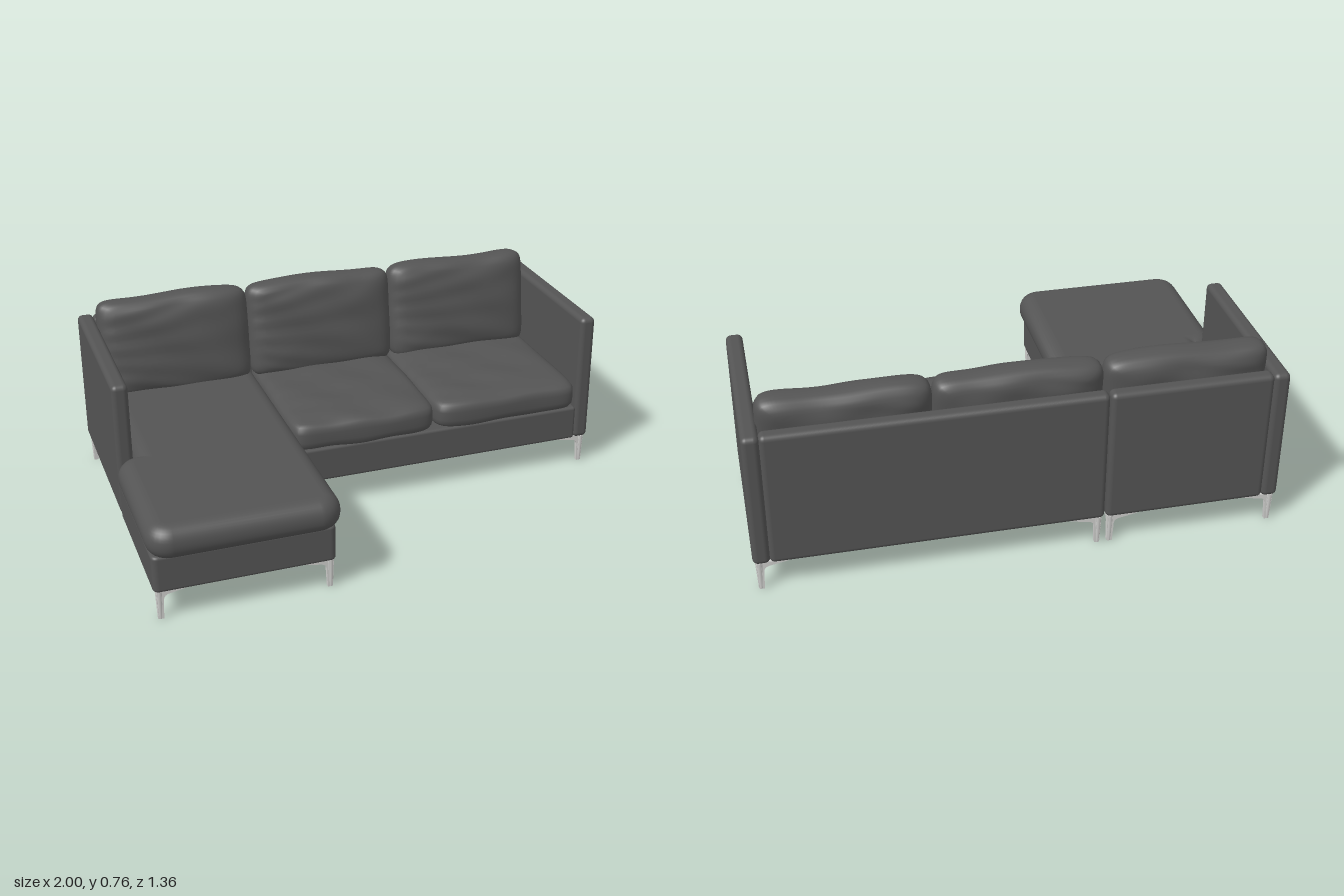
import * as THREE from 'three';
import { mergeVertices } from 'three/addons/utils/BufferGeometryUtils.js';
import { RoundedBoxGeometry } from 'three/addons/geometries/RoundedBoxGeometry.js';

const material = (name, color) => {
  const m = new THREE.MeshStandardMaterial({ color });
  m.name = name;
  return m;
};

function smooth(geometry) {
  geometry.deleteAttribute('uv');
  geometry.deleteAttribute('normal');
  const merged = mergeVertices(geometry, 1e-5);
  merged.computeVertexNormals();
  return merged;
}

// Rounded box given by its limits on each axis
function slab([x0, x1], [y0, y1], [z0, z1], r) {
  const g = new RoundedBoxGeometry(x1 - x0, y1 - y0, z1 - z0, 4, r);
  return g.translate((x0 + x1) / 2, (y0 + y1) / 2, (z0 + z1) / 2);
}

// L-shaped slab with rounded rims: wide in front of zn, narrow behind it
function notchedSlab(x0, xn, x1, z0, zn, z1, y0, y1, r, corner) {
  const [a, n, b] = [x0 + r, xn + r, x1 - r];
  const [back, step, front] = [-(z0 + r), -(zn + r), -(z1 - r)];
  const s = new THREE.Shape();
  s.moveTo(a + corner, front);
  s.lineTo(b - corner, front);
  s.quadraticCurveTo(b, front, b, front + corner);
  s.lineTo(b, back);
  s.lineTo(n, back);
  s.lineTo(n, step);
  s.lineTo(a + corner, step);
  s.quadraticCurveTo(a, step, a, step - corner);
  s.lineTo(a, front + corner);
  s.quadraticCurveTo(a, front, a + corner, front);
  const g = new THREE.ExtrudeGeometry(s, {
    depth: y1 - y0 - 2 * r, bevelEnabled: true, bevelSize: r, bevelThickness: r,
    bevelSegments: 8, curveSegments: 8,
  });
  return smooth(g.rotateX(-Math.PI / 2).translate(0, y0 + r, 0));
}

// Stuffed cushion: width x height outline, thickness along z, soft creases
function cushion(w, h, t, power, seed) {
  const g = new THREE.BoxGeometry(2, 2, 2, 36, 32, 12);
  const pos = g.attributes.position;
  for (let i = 0; i < pos.count; i++) {
    const [x, y, z] = [pos.getX(i), pos.getY(i), pos.getZ(i)].map((v) => Math.sin(v * Math.PI / 2));
    const R = Math.pow(Math.abs(x) ** 10 + Math.abs(y) ** 10, 0.1);
    const k = Math.pow(R ** power + Math.abs(z) ** power, -1 / power);
    const [u, v, d] = [x * k, y * k, z * k];
    const fold = 0.003 * Math.sin(7 * u + 5 * v + seed) + 0.002 * Math.sin(13 * v - 8 * u * v + seed * 2);
    const edge = 0.005 * Math.sin(4 * u + seed) * v;
    pos.setXYZ(i, u * w / 2, v * h / 2 + edge, d * t / 2 + fold * d * (1 - (u * v) ** 2));
  }
  return smooth(g);
}

// Curved bracket arm of a leg, running along +x from the post
function bracketGeometry() {
  const s = new THREE.Shape();
  s.moveTo(-0.012, 0.118);
  s.lineTo(-0.006, 0);
  s.lineTo(0.012, 0);
  s.lineTo(0.016, 0.078);
  s.quadraticCurveTo(0.018, 0.097, 0.04, 0.1);
  s.lineTo(0.105, 0.112);
  s.lineTo(0.105, 0.118);
  s.closePath();
  return new THREE.ExtrudeGeometry(s, { depth: 0.016, bevelEnabled: false, curveSegments: 8 }).translate(0, 0, -0.008);
}

export function createModel() {
  const fabric = material('charcoal fabric', 0x545454);
  const lining = material('black lining', 0x141414);
  const metal = material('brushed metal', 0xcfcfcd);

  const model = new THREE.Group();
  model.name = 'cornerSofa';
  const add = (name, geometry, mat = fabric, parent = model) => {
    const mesh = new THREE.Mesh(geometry, mat);
    mesh.name = name;
    parent.add(mesh);
    return mesh;
  };

  // Frame: arms, back panels and bases
  add('rightArm', slab([-0.985, -0.922], [0.118, 0.657], [-0.68, 0.06], 0.02));
  add('leftArm', slab([0.934, 0.997], [0.118, 0.657], [-0.68, 0.06], 0.02));
  add('chaiseBackPanel', slab([-0.924, -0.309], [0.118, 0.657], [-0.68, -0.62], 0.02));
  add('sofaBackPanel', slab([-0.305, 0.936], [0.118, 0.657], [-0.68, -0.62], 0.02));
  add('chaiseBase', notchedSlab(-0.985, -0.925, -0.311, -0.65, 0.058, 0.635, 0.118, 0.262, 0.012, 0.012));
  add('sofaBase', slab([-0.305, 0.936], [0.118, 0.262], [-0.65, 0.058], 0.012));

  // Underside lining
  add('chaiseLining', new THREE.BoxGeometry(0.62, 0.006, 1.25).translate(-0.647, 0.117, -0.02), lining);
  add('sofaLining', new THREE.BoxGeometry(1.24, 0.006, 0.68).translate(0.345, 0.117, -0.31), lining);

  // Seat cushions
  add('chaiseCushion', notchedSlab(-0.998, -0.92, -0.287, -0.63, 0.06, 0.675, 0.252, 0.381, 0.06, 0.03));
  [[-0.292, 0.312], [0.308, 0.938]].forEach(([x0, x1], i) => {
    const seat = add('seatCushion', cushion(x1 - x0, 0.7, 0.137, 5, i * 2.3 + 1));
    seat.rotation.x = -Math.PI / 2;
    seat.position.set((x0 + x1) / 2, 0.314, -0.278);
  });

  // Leaning back cushions
  [[-0.926, -0.306], [-0.306, 0.318], [0.318, 0.94]].forEach(([x0, x1], i) => {
    const back = add('backCushion', cushion(x1 - x0, 0.41, 0.16, 3.2, i * 1.7 + 0.4));
    back.rotation.x = -0.14;
    back.position.set((x0 + x1) / 2, 0.546, -0.538);
  });

  // Corner legs with two bracket arms pointing inwards
  const bracket = bracketGeometry();
  const leg = (x, z, sx, sz) => {
    const group = new THREE.Group();
    group.name = 'leg';
    const armX = add('legBracket', bracket, metal, group);
    const armZ = add('legBracket', bracket, metal, group);
    armX.rotation.y = sx > 0 ? 0 : Math.PI;
    armZ.rotation.y = sz > 0 ? -Math.PI / 2 : Math.PI / 2;
    add('legPost', new THREE.CylinderGeometry(0.014, 0.009, 0.116, 16).translate(0, 0.058, 0), metal, group);
    const plate = new THREE.BoxGeometry(0.06, 0.006, 0.06).translate(sx * 0.024, 0.112, sz * 0.024);
    add('legPlate', plate, metal, group);
    group.position.set(x, 0, z);
    model.add(group);
  };
  for (const [x0, x1, z0, z1] of [[-0.963, -0.329, -0.655, 0.609], [-0.284, 0.975, -0.655, 0.034]]) {
    for (const [x, sx] of [[x0, 1], [x1, -1]]) {
      for (const [z, sz] of [[z0, 1], [z1, -1]]) leg(x, z, sx, sz);
    }
  }
  return model;
}
